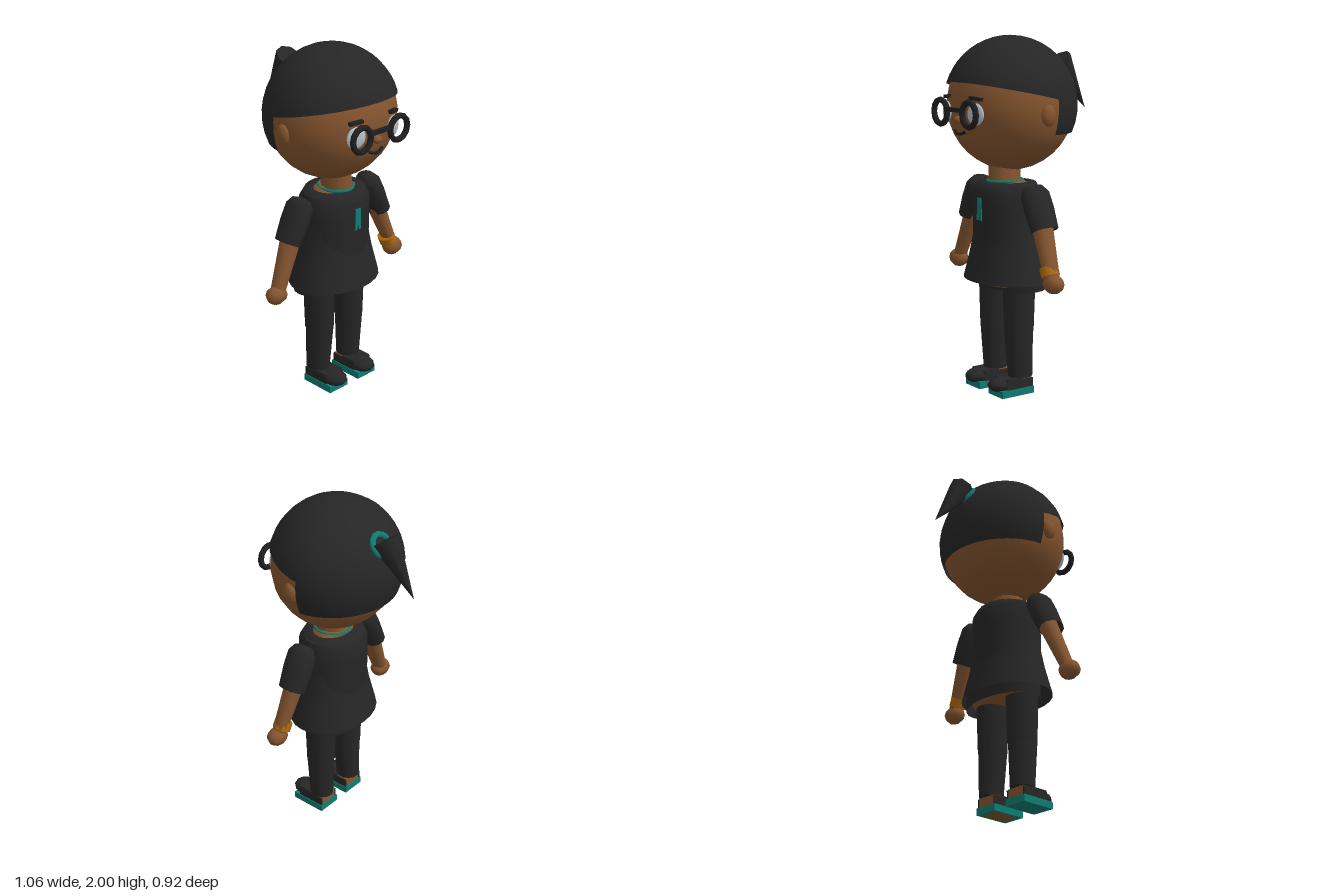
import * as THREE from 'three';
import { ParametricGeometry } from 'three/addons/geometries/ParametricGeometry.js';

const paint = (name, color, side = THREE.FrontSide) => {
  const m = new THREE.MeshStandardMaterial({ color, side });
  m.name = name;
  return m;
};

export function createModel() {
  const black = paint('black cloth and hair', 0x262626, THREE.DoubleSide);
  const frame = paint('dark frame', 0x1f1f21);
  const skin = paint('brown skin', 0x85552f, THREE.DoubleSide);
  const teal = paint('teal', 0x0e7c72, THREE.DoubleSide);
  const orange = paint('orange', 0xb0690f);
  const lens = paint('pale lens', 0xb4c1c7);

  const model = new THREE.Group();
  const add = (name, geo, mat, x = 0, y = 0, z = 0) => {
    const mesh = new THREE.Mesh(geo, mat);
    mesh.name = name;
    mesh.position.set(x, y, z);
    model.add(mesh);
    return mesh;
  };
  const box = (name, mat, w, h, d, x, y, z) => add(name, new THREE.BoxGeometry(w, h, d), mat, x, y, z);
  const ball = (name, mat, rx, ry, rz, x, y, z, n = 12) => {
    const m = add(name, new THREE.SphereGeometry(1, n, Math.ceil(n * 0.7)), mat, x, y, z);
    m.scale.set(rx, ry, rz);
    return m;
  };
  const UP = new THREE.Vector3(0, 1, 0);
  // Turned profile [radius, height] standing at a and pointing to b
  const turned = (name, mat, profile, a, b, depth = 1, n = 16) => {
    const m = add(name, new THREE.LatheGeometry(profile.map(p => new THREE.Vector2(...p)), n), mat, ...a);
    m.quaternion.setFromUnitVectors(UP, new THREE.Vector3(...b).sub(m.position).normalize());
    m.scale.z = depth;
    return m;
  };
  const rod = (name, mat, a, b, ra, rb, depth = 1, n = 12) => {
    const h = Math.hypot(b[0] - a[0], b[1] - a[1], b[2] - a[2]);
    return turned(name, mat, [[0, 0], [ra, 0], [ra, 0], [rb, h], [rb, h], [0, h]], a, b, depth, n);
  };

  // Head
  const cy = 1.62, cz = 0.075;
  ball('head', skin, 0.373, 0.365, 0.345, 0, cy, cz, 24);

  // Front hair: ellipsoid cut by a plane rising towards the forehead
  const slope = 0.22;
  add('hairCap', new ParametricGeometry((u, v, p) => {
    const a = u * Math.PI * 2, rx = 0.38, ry = 0.38, rz = 0.37;
    const B = slope * rz * Math.cos(a), C = 1.664 + slope * (cz - 0.03) - cy;
    const t = v * (Math.acos(C / Math.hypot(ry, B)) - Math.atan2(B, ry));
    p.set(rx * Math.sin(t) * Math.sin(a), cy + ry * Math.cos(t), cz + rz * Math.sin(t) * Math.cos(a));
  }, 28, 10), black);

  // Back hair: ellipsoid behind an upright plane, ending at the nape
  add('backHair', new ParametricGeometry((u, v, p) => {
    const rx = 0.388, ry = 0.379, rz = 0.366, cut = 0.03;
    const top = Math.asin((cz - cut) / rz), end = Math.acos((1.47 - cy) / ry);
    const t = top + v * (end - top), s = Math.sin(t);
    const a0 = Math.acos(Math.max(-1, (cut - cz) / (rz * s)));
    const a = a0 + u * (Math.PI - a0) * 2;
    p.set(rx * s * Math.sin(a), cy + ry * Math.cos(t), cz + rz * s * Math.cos(a));
  }, 24, 12), black);

  // Ponytail and its tie
  const tail = add('ponytail', new THREE.ConeGeometry(0.078, 0.345, 8), black, 0, 1.719, -0.357);
  tail.quaternion.setFromUnitVectors(UP, new THREE.Vector3(0, -0.28, -0.195).normalize());
  const tie = add('hairTie', new THREE.TorusGeometry(0.06, 0.018, 8, 14), teal, 0, 1.822, -0.232);
  tie.lookAt(0, 1.822 + 0.6, -0.232 - 0.8);

  // Face
  ball('nose', skin, 0.031, 0.023, 0.025, 0, 1.548, 0.42, 10);
  const smile = new THREE.QuadraticBezierCurve3(
    new THREE.Vector3(-0.052, 1.488, 0.405), new THREE.Vector3(0, 1.455, 0.425), new THREE.Vector3(0.052, 1.488, 0.405));
  add('mouth', new THREE.TubeGeometry(smile, 10, 0.009, 6), frame);
  box('glassesBridge', frame, 0.15, 0.022, 0.024, 0, 1.603, 0.443);

  for (const s of [-1, 1]) {
    ball('ear', skin, 0.03, 0.06, 0.045, s * 0.365, 1.58, 0.085);
    add('glassesRim', new THREE.TorusGeometry(0.067, 0.0165, 8, 12), frame, s * 0.14, 1.585, 0.443);
    const eye = ball('lens', lens, 0.058, 0.06, 0.016, s * 0.14, 1.585, 0.4, 16);
    eye.rotation.y = s * 0.25;
    const brow = box('eyebrow', frame, 0.08, 0.018, 0.025, s * 0.14, 1.668, 0.398);
    brow.rotation.set(0, s * 0.3, -s * 0.1);
  }

  // Neck, chest and necklace
  rod('neck', skin, [0, 1.14, 0.115], [0, 1.29, 0.115], 0.082, 0.077, 1.2);
  const necklace = add('necklace', new THREE.TorusGeometry(0.09, 0.008, 6, 24), teal, 0, 1.198, 0.11);
  necklace.rotation.x = Math.PI / 2;
  necklace.scale.y = 1.15;
  turned('body', skin, [[0, 0], [0.2, 0], [0.2, 0.1], [0.185, 0.4], [0.17, 0.55], [0.08, 0.59], [0, 0.59]],
    [0, 0.615, 0.085], [0, 2, 0.085], 0.8, 20);

  // Shirt, open at the neck and hem, with a hem layer below
  turned('shirt', black, [[0.285, 0], [0.285, 0], [0.24, 0.16], [0.215, 0.28], [0.208, 0.38], [0.212, 0.49], [0.19, 0.54], [0.19, 0.54], [0.13, 0.553]],
    [0, 0.64, 0.1], [0, 2, 0.1], 0.85, 24).scale.set(1, 1, 0.79);
  turned('shirtChest', black, [[0.205, 0], [0.206, 0.22], [0.206, 0.32], [0.175, 0.37], [0.13, 0.374]],
    [0, 0.82, 0.1], [0, 2, 0.1], 0.9, 24);
  turned('underHem', black, [[0.25, 0], [0.25, 0.1]], [0, 0.595, 0.07], [0, 2, 0.07], 0.62, 24);

  // Chest pendant strip with a notched end
  const strip = new THREE.Shape();
  [[-0.018, 1.11], [-0.022, 0.985], [-0.008, 0.985], [0, 1.015], [0.008, 0.985], [0.022, 0.985], [0.018, 1.11]]
    .forEach(([x, y], i) => i ? strip.lineTo(x, y) : strip.moveTo(x, y));
  add('pendant', new THREE.ExtrudeGeometry(strip, { depth: 0.008, bevelEnabled: false }), teal, 0, 0, 0.281);

  for (const s of [-1, 1]) {
    // Arms
    turned('sleeve', black, [[0.062, 0], [0.062, 0], [0.068, 0.12], [0.066, 0.21], [0.045, 0.25], [0, 0.262]],
      [s * 0.358, 0.957, 0.1], [s * 0.27, 1.135, 0.1], 1.3, 12);
    rod('forearm', skin, [s * 0.325, 1.0, 0.1], [s * 0.447, 0.715, 0.12], 0.052, 0.037, 1.2, 10);
    ball('hand', skin, 0.067, 0.054, 0.054, s * 0.463, 0.685, 0.122, 8);

    // Legs
    rod('thigh', black, [s * 0.118, 0.355, 0.102], [s * 0.118, 0.7, 0.1], 0.08, 0.09, 1.08, 14);
    rod('shin', black, [s * 0.122, 0.095, 0.095], [s * 0.118, 0.36, 0.104], 0.066, 0.078, 1.08, 14);

    // Shoes
    const x = s * 0.114;
    box('sole', teal, 0.142, 0.04, 0.215, x, 0.02, 0.1525);
    box('foot', skin, 0.118, 0.055, 0.15, x, 0.066, 0.128);
    for (const e of [-1, 1]) box('shoeSide', black, 0.009, 0.05, 0.17, x + e * 0.062, 0.064, 0.135);
    box('shoeTop', black, 0.126, 0.03, 0.1, x, 0.082, 0.17);
    ball('shoeToe', black, 0.067, 0.042, 0.08, x, 0.063, 0.222, 12);
  }

  // Details on the model's left only
  rod('bracelet', orange, [0.411, 0.768, 0.116], [0.434, 0.722, 0.118], 0.05, 0.05, 1.05, 10);
  box('soleInset', skin, 0.11, 0.004, 0.17, 0.114, 0.0015, 0.15);

  return model;
}
